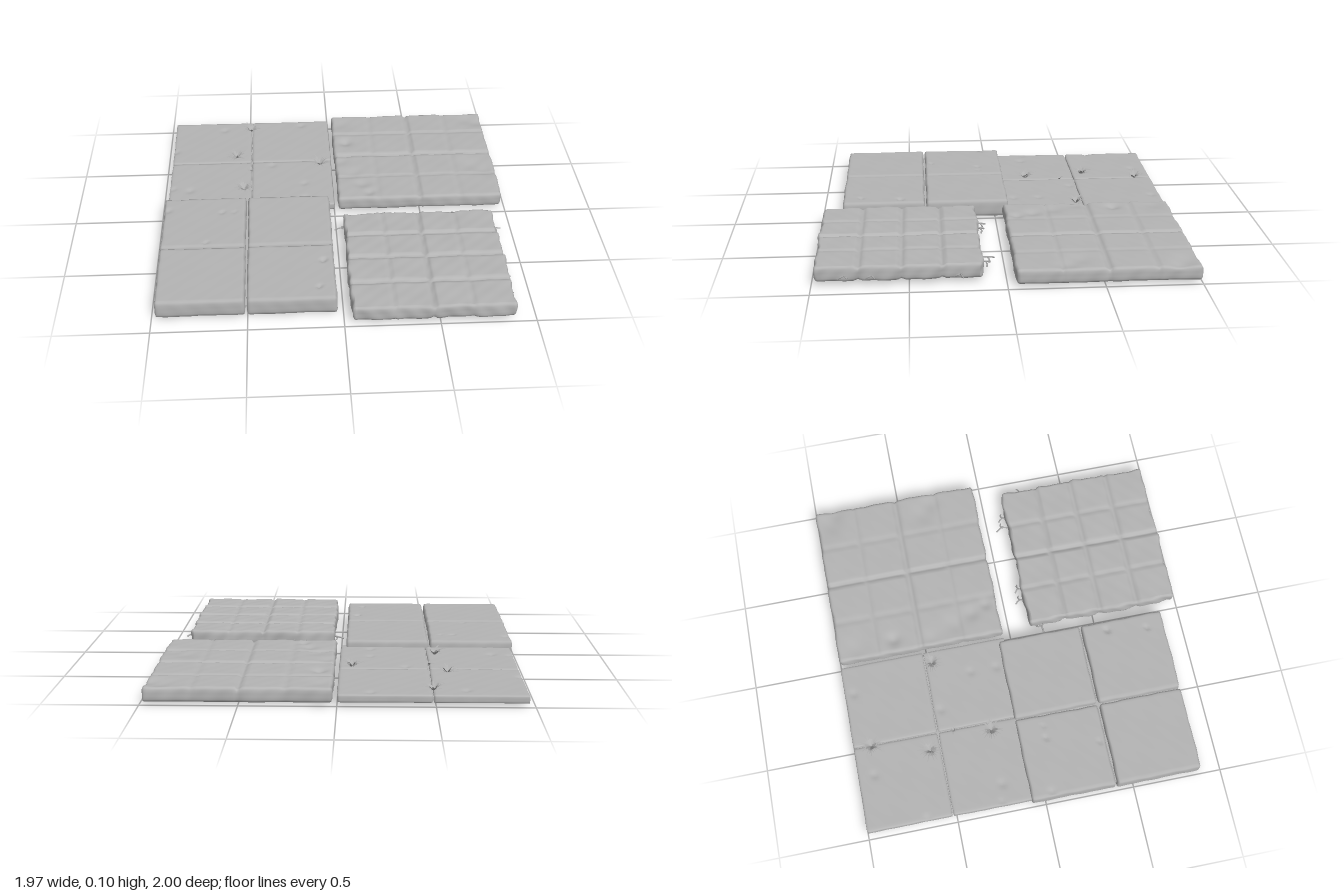
import * as THREE from 'three';
import { mergeVertices, mergeGeometries } from 'three/addons/utils/BufferGeometryUtils.js';

const stone = new THREE.MeshStandardMaterial({ color: 0xb4b4b4 });
stone.name = 'grey stone';
const foliage = new THREE.MeshStandardMaterial({ color: 0xb0b0b0, side: THREE.DoubleSide });
foliage.name = 'grey foliage';

let seed = 7;
const rand = () => (seed = (seed * 16807) % 2147483647) / 2147483647;
const wave = (x, y, z) =>
  Math.sin(x * 23 + z * 9 + 1) * 0.4 + Math.sin(z * 31 - x * 13 + y * 20) * 0.35 + Math.sin(x * 57 + z * 61 + y * 45) * 0.25;

// A worn stone slab: rounded box, carved by grooves and dents, with wobbling sides.
// grooves: [axis, position, depth, half width]; dents: [x, z, radius, depth]
function slab(name, [x0, x1], [y0, y1], [z0, z1], o) {
  const { n = 36, r = 0.012, rough = 0.002, grooves = [], dents = [], under = 0 } = o;
  const size = new THREE.Vector3(x1 - x0, y1 - y0, z1 - z0);
  const mid = new THREE.Vector3((x0 + x1) / 2, (y0 + y1) / 2, (z0 + z1) / 2);
  let g = new THREE.BoxGeometry(size.x, size.y, size.z, n, 5, n);
  g.deleteAttribute('normal');
  g.deleteAttribute('uv');
  g = mergeVertices(g, 1e-5);
  const p = g.attributes.position;
  const inner = size.clone().multiplyScalar(0.5).subScalar(r);
  const v = new THREE.Vector3(), c = new THREE.Vector3();
  for (let i = 0; i < p.count; i++) {
    v.fromBufferAttribute(p, i);
    c.copy(v).clamp(inner.clone().negate(), inner);
    v.sub(c);
    if (v.length() > r) v.setLength(r);
    v.add(c).add(mid);
    const t = (v.y - y0) / size.y;
    const rim = Math.max(Math.abs(v.x - mid.x) / size.x, Math.abs(v.z - mid.z) / size.z) * 2;
    let cut = 0, dent = 0;
    for (const [axis, at, depth, half] of grooves) {
      const d = Math.abs(v[axis] + wave(v.x, 0, v.z) * 0.002 - at) / half;
      if (d < 1) cut = Math.max(cut, depth * (1 - d * d));
    }
    for (const [x, z, rad, depth] of dents) {
      dent += depth * Math.exp(-((v.x - x) ** 2 + (v.z - z) ** 2) / (rad * rad));
    }
    const w = wave(v.x, v.y, v.z);
    // sides wobble inwards
    if (rim > 0.9) {
      const k = rough * (w - 0.6) - cut * 0.35;
      if (Math.abs(v.x - mid.x) > size.x / 2 - r * 1.1) v.x += Math.sign(v.x - mid.x) * k;
      if (Math.abs(v.z - mid.z) > size.z / 2 - r * 1.1) v.z += Math.sign(v.z - mid.z) * k;
    }
    // top is carved, the underside only where asked
    if (t > 0.5) v.y -= (cut + dent - rough * 0.25 * (w - 0.6)) * (t - 0.5) * 2;
    else v.y += cut * under * (0.5 - t) * 2;
    p.setXYZ(i, v.x, v.y, v.z);
  }
  g.computeVertexNormals();
  const m = new THREE.Mesh(g, stone);
  m.name = name;
  return m;
}

// Four blocks laid two by two with an open seam
function fourBlocks(name, [x0, x1], ys, [z0, z1], gap, o) {
  const group = new THREE.Group();
  group.name = name;
  const xm = (x0 + x1) / 2, zm = (z0 + z1) / 2, h = gap / 2;
  for (const xs of [[x0, xm - h], [xm + h, x1]]) {
    for (const zs of [[z0, zm - h], [zm + h, z1]]) group.add(slab('pavingBlock', xs, ys, zs, o));
  }
  // thin core closing the seam halfway down
  const core = new THREE.Mesh(new THREE.BoxGeometry(x1 - x0 - 0.04, 0.012, z1 - z0 - 0.04), stone);
  core.position.set(xm, (ys[0] + ys[1]) / 2, zm);
  core.name = 'seamFill';
  group.add(core);
  return group;
}

// Spiky tuft of pointed blades bending outwards
function tuft(x, y, z, radius, height, count) {
  const pos = [];
  for (let i = 0; i < count; i++) {
    const a = (i + rand() * 0.7) / count * Math.PI * 2;
    const len = radius * (0.6 + 0.4 * rand()), up = height * (0.3 + 0.7 * rand()), w = 0.005;
    const dx = Math.cos(a), dz = Math.sin(a);
    const at = (along, side, h) => [dx * along - dz * side, h, dz * along + dx * side];
    const b0 = at(0.004, -w, 0), b1 = at(0.004, w, 0);
    const m0 = at(len * 0.5, -w * 0.8, up * 0.8), m1 = at(len * 0.5, w * 0.8, up * 0.8), tip = at(len, 0, up);
    pos.push(...b0, ...b1, ...m1, ...b0, ...m1, ...m0, ...m0, ...m1, ...tip);
  }
  const g = new THREE.BufferGeometry();
  g.setAttribute('position', new THREE.Float32BufferAttribute(pos, 3));
  g.computeVertexNormals();
  const m = new THREE.Mesh(g, foliage);
  m.position.set(x, y, z);
  m.name = 'grassTuft';
  return m;
}

// Rootlet poking out of a slab side, with a small fork
function root(x, y, z, dx, dz, len) {
  const P = (f, s, h) => new THREE.Vector3(x + dx * f - dz * s, y + h, z + dz * f + dx * s);
  const tube = (...pts) => new THREE.TubeGeometry(new THREE.CatmullRomCurve3(pts), 6, 0.0045, 4);
  const g = mergeGeometries([
    tube(P(-0.02, 0, 0), P(len * 0.5, 0.012, 0.008), P(len, -0.006, -0.004)),
    tube(P(len * 0.4, 0.01, 0.006), P(len * 0.6, 0.03, 0), P(len * 0.5, 0.045, -0.01)),
  ]);
  const m = new THREE.Mesh(g, foliage);
  m.name = 'rootlet';
  return m;
}

export function createModel() {
  const model = new THREE.Group();

  // front right-hand tile: four thick blocks with small pits
  model.add(fourBlocks('thickTile', [-0.985, -0.03], [0, 0.1], [-0.08, 0.885], 0.008, {
    r: 0.013, rough: 0.003,
    dents: [[-0.65, 0.07, 0.012, 0.012], [-0.58, 0.07, 0.01, 0.008], [-0.73, 0.36, 0.01, 0.012],
      [-0.09, 0.55, 0.015, 0.018], [-0.12, 0.78, 0.012, 0.014], [-0.96, 0.04, 0.02, 0.01]],
  }));

  // back right-hand tile: thin and overgrown
  model.add(fourBlocks('thinTile', [-0.97, 0], [0.02, 0.062], [-1, -0.04], 0.004, {
    r: 0.007, rough: 0.002,
    dents: [[-0.66, -0.91, 0.02, 0.008], [-0.17, -0.95, 0.02, 0.008], [-0.36, -0.48, 0.02, 0.008],
      [-0.17, -0.27, 0.02, 0.008], [-0.17, -0.12, 0.02, 0.008], [-0.85, -0.22, 0.022, 0.008],
      [-0.96, -0.66, 0.02, 0.01], [-0.95, -0.24, 0.015, 0.008]],
  }));
  for (const [x, z] of [[-0.49, -0.9], [-0.58, -0.58], [-0.07, -0.48], [-0.53, -0.22]]) {
    model.add(tuft(x, 0.06, z, 0.078, 0.042, 26));
  }
  model.add(tuft(-0.49, 0.06, -0.43, 0.035, 0.02, 9));

  // back left-hand tile: one cracked, chipped slab
  model.add(slab('crackedTile', [0.02, 0.985], [0.015, 0.096], [-1, -0.04], {
    n: 72, r: 0.016, rough: 0.005,
    grooves: [['x', 0.5, 0.014, 0.016], ['z', -0.52, 0.016, 0.016], ['z', -0.77, 0.008, 0.014],
      ['z', -0.28, 0.007, 0.014], ['x', 0.26, 0.004, 0.02], ['x', 0.74, 0.004, 0.02]],
    dents: [[0.1, -0.67, 0.035, 0.016], [0.08, -0.9, 0.07, 0.008], [0.12, -0.32, 0.06, 0.01],
      [0.17, -0.2, 0.04, 0.012], [0.21, -0.11, 0.03, 0.012], [0.85, -0.38, 0.06, 0.007],
      [0.92, -0.31, 0.05, 0.008], [0.9, -0.92, 0.07, 0.01], [0.97, -0.88, 0.05, 0.01], [0.06, -0.45, 0.05, 0.008]],
  }));

  // front left-hand tile: small grid paving with rootlets at the rim
  model.add(slab('gridTile', [0.035, 0.9], [0.02, 0.104], [0.115, 0.99], {
    n: 72, r: 0.014, rough: 0.009, under: 0.6,
    grooves: [['x', 0.465, 0.015, 0.016], ['x', 0.26, 0.006, 0.016], ['x', 0.67, 0.006, 0.016],
      ['z', 0.33, 0.013, 0.016], ['z', 0.54, 0.013, 0.016], ['z', 0.76, 0.013, 0.016]],
  }));
  for (const [x, z, dx, dz, len] of [
    [0.2, 0.12, 0, -1, 0.05], [0.27, 0.12, 0, -1, 0.04], [0.68, 0.12, 0, -1, 0.07], [0.74, 0.12, 0, -1, 0.045],
    [0.05, 0.22, -1, -0.5, 0.06], [0.88, 0.22, 1, 0.2, 0.05], [0.88, 0.68, 1, 0, 0.03], [0.88, 0.82, 1, 0, 0.025],
  ]) model.add(root(x, 0.045, z, dx, dz, len));

  return model;
}
